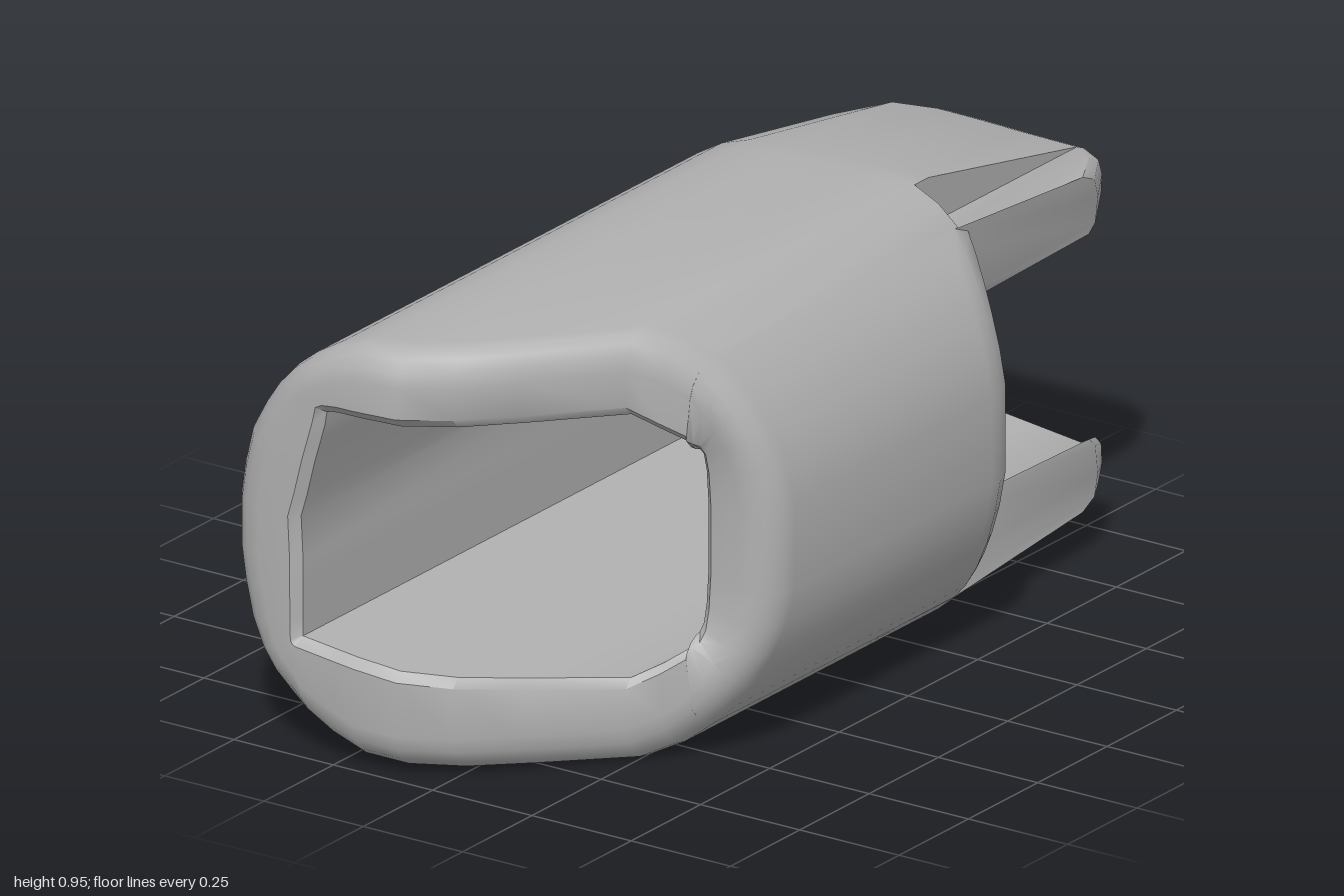
import * as THREE from 'three';
import { toCreasedNormals } from 'three/addons/utils/BufferGeometryUtils.js';

const HEIGHT = 0.945;

// Upper half of the sleeve wall, from the -x side over the top to the +x side:
// outer x, outer y, inner x, inner y, back z, thinning at the root and at the tip
const UPPER = [
  [-0.52, 0.53, -0.345, 0.52, -0.18],
  [-0.51, 0.60, -0.33, 0.57, -0.40, 0, 0.05],
  [-0.49, 0.68, -0.31, 0.65, -0.66, 0, 0.2],
  [-0.455, 0.745, -0.295, 0.70, -0.68, 0, 0.2],
  [-0.42, 0.795, -0.285, 0.735, -0.68, 0, 0.22],
  [-0.375, 0.84, -0.28, 0.765, -0.68, 0, 0.25],
  [-0.33, 0.875, -0.27, 0.768, -0.68, 0, 0.3],
  [-0.27, 0.91, -0.24, 0.77, -0.85, 0, 0.4],
  [-0.2, 0.933, -0.2, 0.77, -0.98, 0, 0.5],
  [-0.1, 0.938, -0.1, 0.77, -1, 0, 0.5],
  [0, 0.942, 0, 0.77, -1, 0, 0.52],
  [0.1, 0.945, 0.1, 0.77, -1, 0, 0.55],
  [0.25, 0.95, 0.25, 0.77, -1, 0, 0.58],
  [0.25, 0.95, 0.25, 0.77, -1, 0.58, 0.58],
  [0.31, 0.922, 0.30, 0.73, -0.98, 0.4, 0.4],
  [0.36, 0.88, 0.34, 0.70, -0.90, 0.2, 0.2],
  [0.36, 0.88, 0.34, 0.69, -0.44],
  [0.40, 0.84, 0.34, 0.68, -0.42],
  [0.44, 0.785, 0.34, 0.675, -0.40],
  [0.475, 0.72, 0.34, 0.66, -0.385],
  [0.50, 0.65, 0.34, 0.62, -0.38],
  [0.515, 0.57, 0.34, 0.55, -0.38],
];

// Lower half: mirrored, with a floor that rises toward the -x side
function lowerColumn([ox, oy, ix, iy, ...rest]) {
  const x = ix < -0.265 ? -0.34 : ix;
  const y = Math.max(HEIGHT - iy, 0.185 + (0.26 - x) * 0.116);
  return [ox, HEIGHT - oy, x, y, ...rest];
}

// Slanted front cut, as z over x
const FRONT = [[-1, 1], [-0.12, 1], [-0.03, 0.955], [0.05, 0.88], [0.26, 0.65], [0.43, 0.51], [1, 0.5]];
function frontZ(x) {
  const i = FRONT.findIndex((p) => p[0] > x);
  const [x0, z0] = FRONT[i - 1], [x1, z1] = FRONT[i];
  return z0 + (z1 - z0) * (x - x0) / (x1 - x0);
}

// Closed lengthwise section of the wall: front lip, outside, back lip, inside
function section([ox, oy, ix, iy, zb, root = 0, tip = 0]) {
  const t = Math.hypot(ix - ox, iy - oy);
  const zf = frontZ((ox + ix) / 2);
  const rf = Math.min(0.08, t * 0.5);
  const rb = Math.min(0.07, t * (1 - tip) * 0.45);
  const zk = Math.max(-0.38, zb + 0.1);
  const e = tip * t;
  const s = 0.02;
  return [
    [t - s, zf], [rf, zf], [rf * 0.6, zf - rf * 0.08], [rf * 0.3, zf - rf * 0.3],
    [rf * 0.08, zf - rf * 0.6], [0, zf - rf],
    [0, zk], [root * t, Math.max(zk - 0.05, zb + rb)], [e, zb + rb],
    [e + rb * 0.3, zb + rb * 0.3], [e + rb, zb], [t - s, zb],
    [t, zb + s], [t, zf - s],
  ].map(([d, z]) => new THREE.Vector3(ox + (ix - ox) * d / t, oy + (iy - oy) * d / t, z));
}

// Joins neighbouring sections around the loop, skipping zero-area faces
function buildShell(columns) {
  const rows = columns.map(section);
  const pos = [];
  const tri = new THREE.Triangle();
  const add = (a, b, c) => {
    if (tri.set(a, b, c).getArea() > 1e-7) for (const p of [a, b, c]) pos.push(p.x, p.y, p.z);
  };
  rows.forEach((row, i) => {
    const next = rows[(i + 1) % rows.length];
    row.forEach((a, j) => {
      const k = (j + 1) % row.length;
      add(a, next[j], row[k]);
      add(next[j], next[k], row[k]);
    });
  });
  const geo = new THREE.BufferGeometry();
  geo.setAttribute('position', new THREE.Float32BufferAttribute(pos, 3));
  return toCreasedNormals(geo, 0.65);
}

export function createModel() {
  const grey = new THREE.MeshStandardMaterial({ color: 0xb0b0b0 });
  grey.name = 'plain grey';
  const sleeve = new THREE.Mesh(buildShell([...UPPER, ...UPPER.map(lowerColumn).reverse()]), grey);
  sleeve.name = 'sleeve';
  const model = new THREE.Group();
  model.name = 'slottedSleeve';
  model.add(sleeve);
  return model;
}
